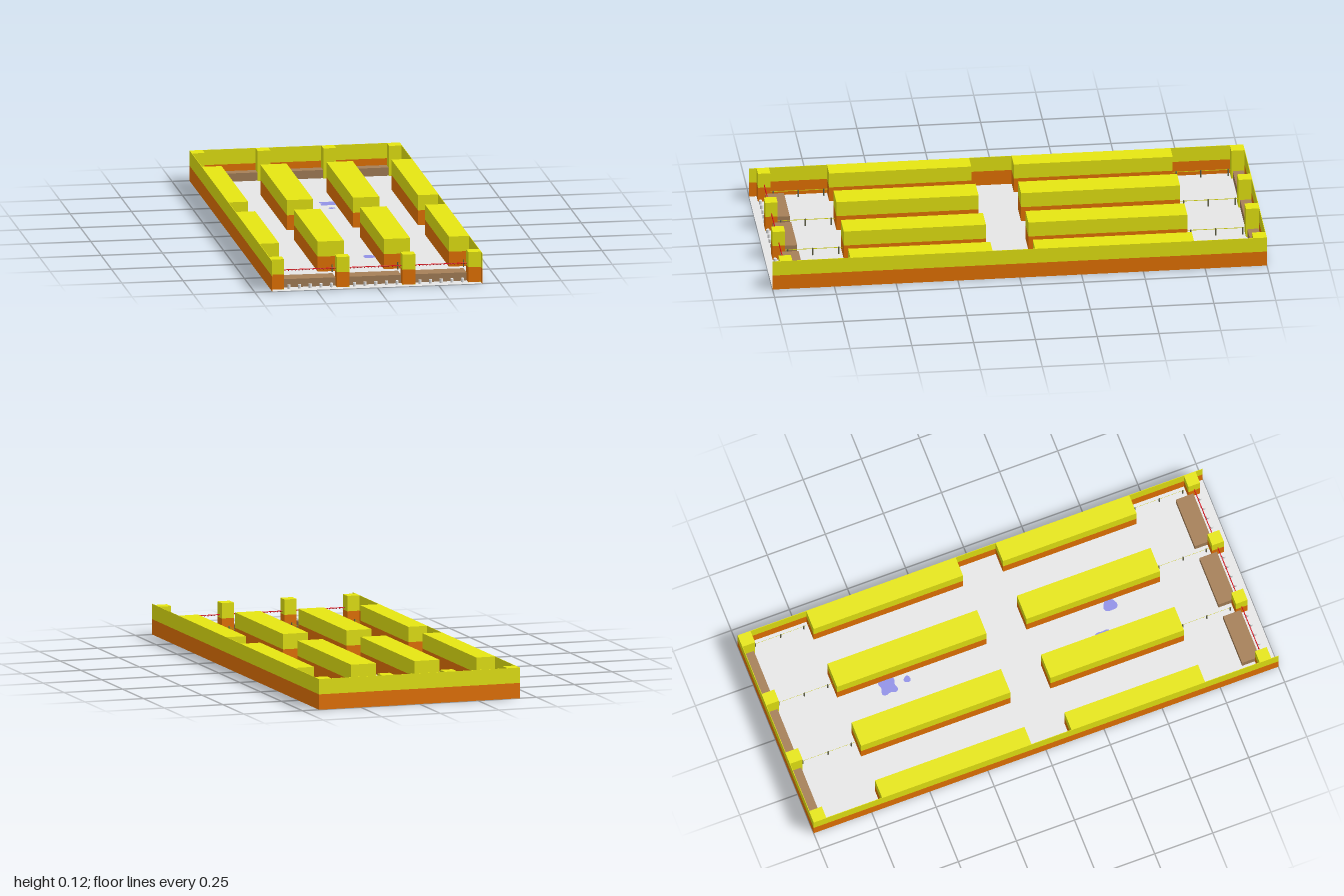
import * as THREE from 'three';

export function createModel() {
  const model = new THREE.Group();
  model.name = 'shootingArena';

  const mat = (name, color, side = THREE.FrontSide) => {
    const m = new THREE.MeshStandardMaterial({ color, side });
    m.name = name;
    return m;
  };
  const yellow = mat('yellow', 0xe7e712, THREE.DoubleSide);
  const orange = mat('orange', 0xe77402);
  const grey = mat('floorGrey', 0xe8e8e8, THREE.DoubleSide);
  const brown = mat('brown', 0xa68058);
  const red = mat('red', 0xe00818);
  const purple = mat('purple', 0x9494ea, THREE.DoubleSide);
  const dark = mat('darkPost', 0x66664c);

  const H = 0.125, MID = 0.0625, X = 0.429, BASE = 0.001;

  // Box given by its lower and upper corners
  const box = (name, material, x0, x1, y0, y1, z0, z1, parent = model) => {
    const mesh = new THREE.Mesh(new THREE.BoxGeometry(x1 - x0, y1 - y0, z1 - z0), material);
    mesh.position.set((x0 + x1) / 2, (y0 + y1) / 2, (z0 + z1) / 2);
    mesh.name = name;
    parent.add(mesh);
  };
  // Orange lower half with a yellow upper half
  const twoTone = (name, x0, x1, y0, z0, z1) => {
    const g = new THREE.Group();
    g.name = name;
    box(name + 'Lower', orange, x0, x1, y0, MID, z0, z1, g);
    box(name + 'Upper', yellow, x0, x1, MID, H, z0, z1, g);
    model.add(g);
  };
  const place = (name, geometry, material, x, y, z) => {
    const mesh = new THREE.Mesh(geometry, material);
    mesh.position.set(x, y, z);
    mesh.name = name;
    model.add(mesh);
    return mesh;
  };

  // Floor
  const floor = place('floor', new THREE.PlaneGeometry(2 * X, 2), grey, 0, 0.0005, 0);
  floor.rotation.x = -Math.PI / 2;

  // Outer walls, open at the front
  twoTone('leftWall', X - 0.002, X, 0, -1, 1);
  twoTone('rightWall', -X, -X + 0.002, 0, -1, 1);
  twoTone('backWall', -X + 0.002, X - 0.002, 0, -1, -0.998);

  // Long dividing blocks in two rows
  const columns = [[-X + 0.002, -0.348], [-0.19, -0.083], [0.08, 0.187], [0.345, X - 0.002]];
  for (const [x0, x1] of columns) {
    twoTone('backBlock', x0, x1, BASE, -0.705, -0.062);
    twoTone('frontBlock', x0, x1, BASE, 0.11, 0.685);
  }

  // Pillars at both ends
  const pillarX = [-0.402, -0.134, 0.134, 0.402];
  for (const x of pillarX) {
    const x0 = x - 0.026, x1 = x + 0.026;
    twoTone('frontPillar', x0, x1, BASE, 0.92, 0.97);
    box('frontPillarFoot', yellow, x0, x1, 0, BASE, 0.92, 0.97);
    box('backPillar', yellow, x0, x1, 0, H, -0.998, -0.945);
  }

  // Benches, studs and red wires in the three bays
  box('backBench', brown, -0.374, 0.374, BASE, 0.035, -0.996, -0.951);
  const studGeo = new THREE.CylinderGeometry(0.0065, 0.0065, 0.016, 24);
  const wireGeo = new THREE.CylinderGeometry(0.0018, 0.0018, 0.216, 24, 1, true).rotateZ(Math.PI / 2);
  const barbGeo = new THREE.SphereGeometry(0.0024, 20, 14);
  for (const cx of [-0.267, 0, 0.267]) {
    box('frontBench', brown, cx - 0.107, cx + 0.107, BASE, 0.035, 0.865, 0.94);
    place('redWire', wireGeo, red, cx, 0.075, 0.9445);
    for (let i = -2; i <= 2; i++) place('stud', studGeo, grey, cx + i * 0.0435, 0.009, 0.962);
    for (let i = -7; i <= 7; i++) place('wireBarb', barbGeo, red, cx + i * 0.0143, 0.0725, 0.9445);
  }

  // Low posts with thin upright cords between pillars and blocks
  const postGeo = new THREE.CylinderGeometry(0.003, 0.003, 0.031, 20);
  const cordGeo = new THREE.PlaneGeometry(0.24, 0.003).rotateY(Math.PI / 2);
  for (const x of pillarX) {
    for (const z of [-0.935, -0.825, -0.725, 0.7, 0.805, 0.905])
      place('cordPost', postGeo, dark, x, 0.0165, z);
    place('backCord', cordGeo, yellow, x, 0.0295, -0.825);
    place('frontCord', cordGeo, yellow, x, 0.0295, 0.803);
  }

  // Irregular purple splashes painted on the floor
  const splash = (x, z, r, lobes, wave, phase) => {
    const pts = [];
    for (let i = 0; i < 28; i++) {
      const a = (i / 28) * Math.PI * 2;
      const d = r * (1 + wave * Math.cos(lobes * a + phase));
      pts.push(new THREE.Vector2(Math.cos(a) * d, Math.sin(a) * d));
    }
    const geometry = new THREE.ShapeGeometry(new THREE.Shape(pts)).rotateX(-Math.PI / 2);
    place('floorSplash', geometry, purple, x, 0.0025, z);
  };
  splash(-0.071, -0.565, 0.022, 3, 0.06, 0);
  splash(0.052, -0.497, 0.036, 4, 0.22, Math.PI);
  splash(0.053, -0.414, 0.014, 3, 0.1, 1);
  splash(-0.072, 0.307, 0.013, 4, 0.1, 0);
  splash(-0.062, 0.39, 0.032, 3, 0.2, Math.PI);
  splash(0.06, 0.461, 0.028, 3, 0.12, 0);

  return model;
}
